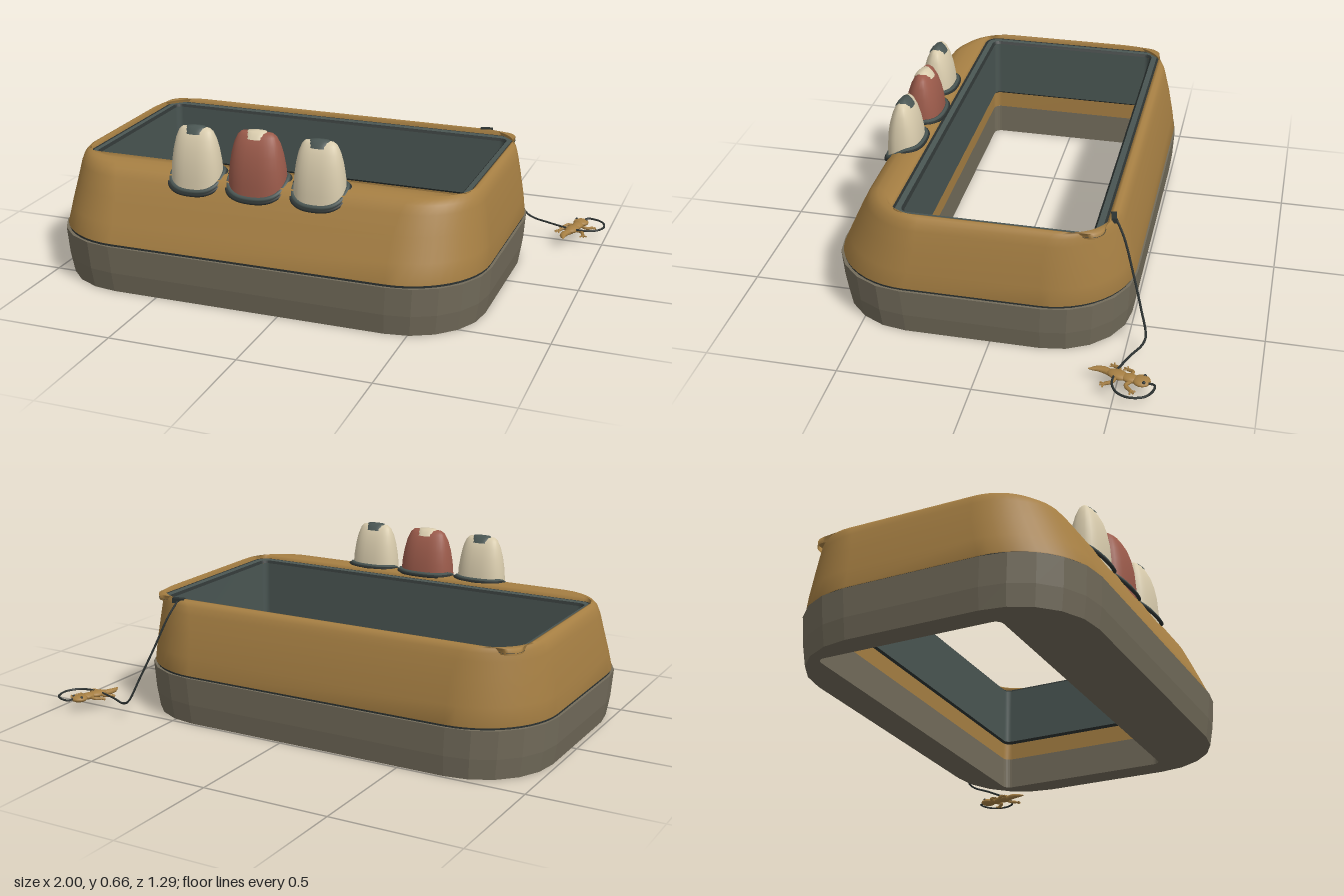
import * as THREE from 'three';

const material = (name, color) => {
  const m = new THREE.MeshStandardMaterial({ color });
  m.name = name;
  return m;
};

// Rounded rectangle ring, given as [x0, x1, z0, z1, radius, y]
function roundedRing([x0, x1, z0, z1, r, y], n) {
  const pts = [];
  const corners = [[x1 - r, z1 - r], [x0 + r, z1 - r], [x0 + r, z0 + r], [x1 - r, z0 + r]];
  corners.forEach(([cx, cz], k) => {
    for (let i = 0; i <= n; i++) {
      const a = (k + i / n) * Math.PI / 2;
      pts.push([cx + r * Math.cos(a), y, cz + r * Math.sin(a)]);
    }
  });
  return pts;
}

// Squarish oval ring around the origin, given as [y, half width, half depth]
function ovalRing([y, hx, hz], n = 32, power = 2.5) {
  const bend = v => Math.sign(v) * Math.abs(v) ** (2 / power);
  return Array.from({ length: n }, (_, i) => {
    const a = i / n * Math.PI * 2;
    return [hx * bend(Math.cos(a)), y, hz * bend(Math.sin(a))];
  });
}

// Skin over a list of equal rings
function loft(rings, flat = false) {
  const n = rings[0].length, index = [];
  for (let i = 0; i < rings.length - 1; i++) {
    for (let j = 0; j < n; j++) {
      const k = (j + 1) % n, a = i * n + j, b = i * n + k;
      index.push(a, a + n, b, b, a + n, b + n);
    }
  }
  let g = new THREE.BufferGeometry();
  g.setAttribute('position', new THREE.Float32BufferAttribute(rings.flat(2), 3));
  g.setIndex(index);
  if (flat) g = g.toNonIndexed();
  g.computeVertexNormals();
  return g;
}

function tube(points, radius, closed = false, segments = 40) {
  const curve = new THREE.CatmullRomCurve3(points.map(p => new THREE.Vector3(...p)), closed);
  return new THREE.TubeGeometry(curve, segments, radius, 6, closed);
}

export function createModel() {
  const gold = material('gold shell', 0xa67f43);
  const grey = material('grey base', 0x736c5b);
  const teal = material('dark teal', 0x4a5653);
  const dark = material('dark trim', 0x2c3231);
  const cream = material('cream', 0xdacdae);
  const red = material('brick red', 0x9c5b4b);

  const model = new THREE.Group();
  const add = (name, geometry, mat, parent = model) => {
    const mesh = new THREE.Mesh(geometry, mat);
    mesh.name = name;
    parent.add(mesh);
    return mesh;
  };
  const rounded = (list, n, flat) => loft(list.map(p => roundedRing(p, n)), flat);

  // Faceted hollow base
  add('base', rounded([
    [-0.885, 0.615, -0.365, 0.355, 0.03, 0.13],
    [-0.885, 0.615, -0.365, 0.355, 0.03, 0],
    [-0.98, 0.715, -0.49, 0.625, 0.3, 0],
    [-0.993, 0.728, -0.5, 0.638, 0.31, 0.08],
    [-1, 0.735, -0.505, 0.645, 0.31, 0.19],
    [-0.97, 0.705, -0.475, 0.615, 0.29, 0.19],
  ], 5, true), grey);

  // Dark seam between base and shell
  add('seam', rounded([
    [-0.99, 0.725, -0.496, 0.635, 0.31, 0.186],
    [-0.99, 0.725, -0.496, 0.635, 0.31, 0.198],
  ], 12), dark);

  // Smooth sloping shell with a rounded rim
  add('shell', rounded([
    [-0.985, 0.72, -0.49, 0.628, 0.31, 0.192],
    [-0.993, 0.728, -0.5, 0.636, 0.31, 0.2],
    [-0.985, 0.72, -0.49, 0.605, 0.3, 0.27],
    [-0.97, 0.705, -0.472, 0.563, 0.28, 0.36],
    [-0.955, 0.69, -0.452, 0.528, 0.25, 0.43],
    [-0.945, 0.68, -0.442, 0.505, 0.23, 0.46],
    [-0.932, 0.667, -0.43, 0.475, 0.2, 0.475],
    [-0.92, 0.655, -0.415, 0.44, 0.16, 0.48],
    [-0.912, 0.648, -0.403, 0.392, 0.06, 0.478],
    [-0.91, 0.645, -0.4, 0.388, 0.05, 0.455],
  ], 12), gold);
  add('innerLining', rounded([
    [-0.885, 0.615, -0.365, 0.355, 0.03, 0.24],
    [-0.885, 0.615, -0.365, 0.355, 0.03, 0.13],
  ], 4), gold);

  // Window frame and its inner wall
  add('frameOuterTrim', rounded([
    [-0.912, 0.648, -0.403, 0.39, 0.055, 0.462],
    [-0.9, 0.635, -0.39, 0.378, 0.045, 0.464],
  ], 6, true), dark);
  add('frame', rounded([
    [-0.9, 0.635, -0.39, 0.378, 0.045, 0.464],
    [-0.884, 0.614, -0.367, 0.357, 0.03, 0.462],
  ], 6, true), teal);
  add('frameInnerTrim', rounded([
    [-0.884, 0.614, -0.367, 0.357, 0.03, 0.462],
    [-0.875, 0.605, -0.358, 0.348, 0.025, 0.452],
  ], 6, true), dark);
  add('innerWall', rounded([
    [-0.875, 0.605, -0.358, 0.348, 0.025, 0.452],
    [-0.875, 0.605, -0.358, 0.348, 0.025, 0.21],
  ], 4), teal);
  add('innerWallLip', rounded([
    [-0.875, 0.605, -0.358, 0.348, 0.025, 0.21],
    [-0.886, 0.616, -0.366, 0.356, 0.03, 0.2],
  ], 4, true), dark);

  // Three tall buttons on the front edge
  const body = [[0.39, 0.1, 0.068], [0.46, 0.1, 0.068], [0.52, 0.096, 0.064], [0.57, 0.089, 0.055],
    [0.61, 0.08, 0.043], [0.64, 0.068, 0.028], [0.652, 0.056, 0.015], [0.655, 0, 0]];
  const patch = [[0.632, 0.042, 0.036], [0.645, 0.04, 0.028], [0.657, 0.036, 0.016], [0.659, 0, 0]];
  const shellHeight = z => z < 0.44 ? 0.482 : 0.482 - 0.07 * ((z - 0.44) / 0.11) ** 1.3;
  [[-0.38, 1, cream, teal], [-0.135, 1.12, red, cream], [0.115, 1, cream, teal]].forEach(([x, s, main, cap], i) => {
    const button = new THREE.Group();
    button.name = 'button' + (i + 1);
    button.position.set(x, 0, s > 1 ? 0.467 : 0.475);
    model.add(button);
    add('buttonBody', loft(body.map(([y, a, b]) => ovalRing([y + (s - 1) * 0.04, a * s, b * s]))), main, button);
    add('buttonTopPatch', loft(patch.map(p => ovalRing([p[0] + (s - 1) * 0.04, p[1], p[2] * s]))), cap, button);
    const collar = (name, grow, lift, radius, mat) => add(name, tube(
      ovalRing([0, 0.1 * s + grow, 0.068 * s + grow], 24).map(([px, , pz]) =>
        [px, shellHeight(pz + button.position.z) + lift, pz]), radius, true, 64), mat, button);
    collar('collar', 0.002, 0.003, 0.009, teal);
    collar('collarEdge', 0.01, -0.002, 0.007, dark);
  });

  // Cord from the back corner to the charm
  const plug = add('cordPlug', new THREE.BoxGeometry(0.05, 0.02, 0.02), dark);
  plug.position.set(0.51, 0.473, -0.42);
  plug.rotation.y = 0.2;
  add('cord', tube([[0.51, 0.475, -0.425], [0.535, 0.41, -0.462], [0.575, 0.29, -0.505], [0.62, 0.17, -0.545],
    [0.66, 0.075, -0.573], [0.69, 0.06, -0.567], [0.77, 0.058, -0.53], [0.87, 0.056, -0.492]], 0.0045), dark);
  add('cordLoop', tube([[0.87, 0.056, -0.495], [0.93, 0.056, -0.492], [0.975, 0.056, -0.515], [0.995, 0.056, -0.56],
    [0.98, 0.056, -0.615], [0.94, 0.056, -0.64], [0.91, 0.056, -0.64], [0.905, 0.056, -0.61]], 0.0045), dark);

  // Little lizard charm
  const lizard = new THREE.Group();
  lizard.name = 'lizardCharm';
  model.add(lizard);
  const blob = (name, p, size, turn = 0, mat = gold) => {
    const m = add(name, new THREE.SphereGeometry(1, 14, 10), mat, lizard);
    m.position.set(...p);
    m.scale.set(...size);
    m.rotation.y = turn;
  };
  blob('head', [0.893, 0.054, -0.592], [0.032, 0.014, 0.033], -0.2);
  blob('chest', [0.885, 0.053, -0.55], [0.023, 0.013, 0.035], -0.2);
  blob('belly', [0.873, 0.052, -0.505], [0.026, 0.014, 0.042], -0.3);
  [-1, 1].forEach(s => blob('eye', [0.893 + s * 0.02, 0.063, -0.602], [0.006, 0.006, 0.006], 0, dark));
  const tail = [[0.865, -0.48, 0.017], [0.852, -0.455, 0.016], [0.848, -0.43, 0.013], [0.852, -0.412, 0.009], [0.856, -0.395, 0.002]];
  add('tail', loft(tail.map(([x, z, r]) => Array.from({ length: 10 }, (_, i) => {
    const a = -i / 10 * Math.PI * 2;
    return [x + r * Math.cos(a), 0.048 + r * 0.7 * Math.sin(a), z];
  })).reverse()), gold, lizard).material.side = THREE.DoubleSide;
  // Legs with splayed toes: hip, knee, foot in x and z
  [[0.9, -0.555, 0.925, -0.54, 0.945, -0.56], [0.87, -0.55, 0.845, -0.555, 0.83, -0.535],
    [0.885, -0.5, 0.915, -0.49, 0.925, -0.465], [0.86, -0.505, 0.835, -0.505, 0.82, -0.485]].forEach(([hx, hz, kx, kz, fx, fz]) => {
    add('leg', tube([[hx, 0.05, hz], [kx, 0.05, kz], [fx, 0.046, fz]], 0.007, false, 10), gold, lizard);
    const aim = Math.atan2(fz - kz, fx - kx);
    [-0.8, 0, 0.8].forEach(t => add('toe', tube([[fx, 0.046, fz],
      [fx + 0.018 * Math.cos(aim + t), 0.044, fz + 0.018 * Math.sin(aim + t)]], 0.0035, false, 3), gold, lizard));
  });
  return model;
}
